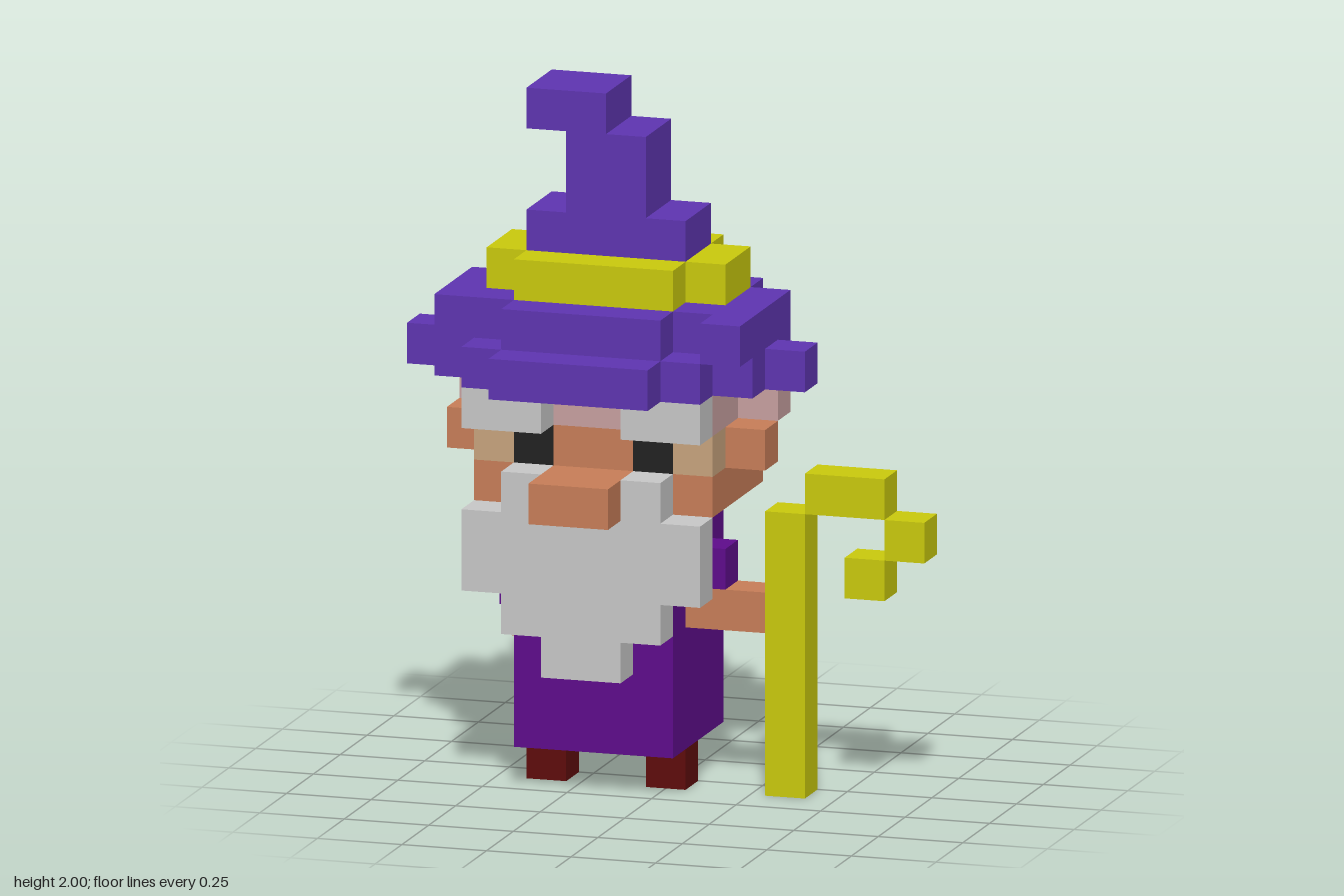
import * as THREE from 'three';

const U = 2 / 17; // one block

const mat = (name, color) => {
  const m = new THREE.MeshStandardMaterial({ color });
  m.name = name;
  return m;
};

export function createModel() {
  const hat = mat('hatPurple', 0x5e35b1);
  const robe = mat('robePurple', 0x5e0c8c);
  const yellow = mat('yellow', 0xcaca0d);
  const skin = mat('skin', 0xc87e58);
  const tan = mat('paleSkin', 0xc8a47e);
  const pink = mat('browPink', 0xc8a0a0);
  const grey = mat('beardGrey', 0xc8c8c8);
  const black = mat('eyeBlack', 0x222222);
  const brown = mat('bootBrown', 0x5e0c0c);

  const model = new THREE.Group();
  model.name = 'blockWizard';

  // Each block is [x0, x1, y0, y1, z0, z1] in grid units (13 wide, 17 tall, 8 deep)
  const part = (name, material, blocks) => {
    const g = new THREE.Group();
    g.name = name;
    blocks.forEach(([x0, x1, y0, y1, z0, z1], i) => {
      const geo = new THREE.BoxGeometry((x1 - x0) * U, (y1 - y0) * U, (z1 - z0) * U);
      const mesh = new THREE.Mesh(geo, material);
      mesh.name = blocks.length > 1 ? `${name}${i + 1}` : name;
      mesh.position.set(((x0 + x1) / 2 - 6.5) * U, ((y0 + y1) / 2) * U, ((z0 + z1) / 2 - 4) * U);
      g.add(mesh);
    });
    model.add(g);
  };
  // Adds the copy of each block on the other side of the body (body centre is x = 5)
  const both = (blocks) => blocks.flatMap(([a, b, ...r]) => [[a, b, ...r], [10 - b, 10 - a, ...r]]);

  // Body
  part('boot', brown, both([[3, 4, 0, 1, 4, 5]]));
  part('robe', robe, [[3, 7, 1, 7, 2, 6]]);

  // Arms: the right one swings back, the left one holds the staff
  part('rightSleeve', robe, [[2, 3, 5, 6, 4, 5], [2, 3, 4, 5, 3, 4]]);
  part('rightHand', skin, [[2, 3, 3, 4, 2, 3]]);
  part('leftSleeve', robe, [[7, 8, 5, 6, 4, 5]]);
  part('leftHand', skin, [[7, 9, 4, 5, 4, 5]]);

  // Crooked staff
  part('staff', yellow, [
    [9, 10, 0, 7, 4, 5], [10, 12, 7, 8, 4, 5], [12, 13, 6, 7, 4, 5], [11, 12, 5, 6, 4, 5],
  ]);

  // Head, with the ears as part of the middle layer
  part('jaw', skin, [[2, 8, 7, 8, 2, 6]]);
  part('face', skin, [
    [2, 8, 8, 9, 2, 3], [3, 7, 8, 9, 3, 4], [1, 9, 8, 9, 4, 5], [4, 6, 8, 9, 5, 6],
  ]);
  part('cheek', tan, both([[2, 3, 8, 9, 5, 6], [2, 3, 8, 9, 3, 4]]));
  part('eye', black, both([[3, 4, 8, 9, 5, 6]]));
  part('forehead', pink, [[2, 8, 9, 10, 2, 6], [1, 2, 9, 10, 3, 4], [8, 9, 9, 10, 3, 4]]);
  part('eyebrow', grey, both([[2, 4, 9, 10, 6, 7]]));
  part('nose', skin, [[4, 6, 7, 8, 6, 8]]);
  part('moustache', grey, both([[3, 4, 7, 8, 6, 7]]));
  part('beard', grey, [[2, 8, 5, 7, 6, 7], [3, 7, 4, 5, 6, 7], [4, 6, 3, 4, 6, 7]]);

  // Hat
  part('brim', hat, [
    [4, 6, 10, 11, 0, 1], [3, 7, 10, 11, 1, 2], [2, 8, 10, 11, 2, 3], [1, 9, 10, 11, 3, 4],
    [0, 10, 10, 11, 4, 5], [1, 9, 10, 11, 5, 6], [2, 8, 10, 11, 6, 7], [3, 7, 10, 11, 7, 8],
  ]);
  part('crown', hat, [
    [3, 7, 11, 12, 1, 2], [2, 8, 11, 12, 2, 3], [1, 9, 11, 12, 3, 6],
    [3, 7, 11, 12, 6, 7], [8, 9, 11, 12, 6, 7],
  ]);
  part('hatBand', yellow, [[3, 7, 12, 13, 2, 3], [2, 8, 12, 13, 3, 5], [3, 7, 12, 13, 5, 6]]);
  part('hatPeak', hat, [[3, 7, 13, 14, 3, 5], [4, 6, 14, 16, 3, 5], [3, 5, 16, 17, 3, 5]]);

  return model;
}
